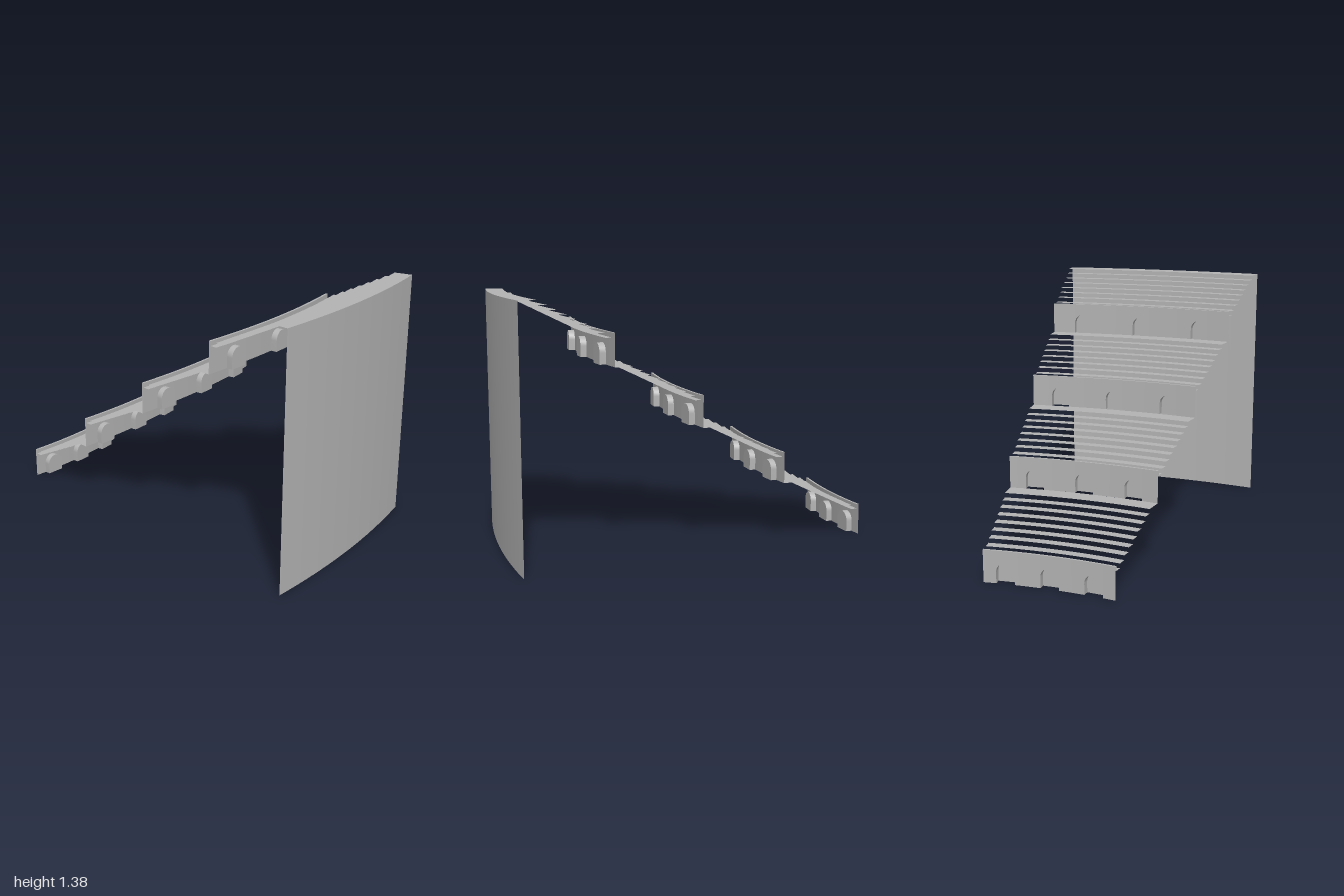
import * as THREE from 'three';

const ARC = THREE.MathUtils.degToRad(15); // angle spanned by the stand
const CENTRE = -3.67;                     // x of the arc centre
const R0 = 2.693, DEPTH = 0.494, RISE = 0.345, TIERS = 4;
const PITCH = DEPTH / 10, ROWS = 9;
const WALL = 0.175, FIRST = 0.15, COPING = 0.012;
const NICHE_W = 0.1, NICHE_H = 0.11, NICHE_D = 0.034;

export function createModel() {
  const group = new THREE.Group();
  const concrete = new THREE.MeshStandardMaterial({ color: 0xb4b4b4, side: THREE.DoubleSide });
  concrete.name = 'concrete grey';

  const add = (parent, geometry, name) => {
    const mesh = new THREE.Mesh(geometry, concrete);
    mesh.name = name;
    parent.add(mesh);
    return mesh;
  };

  // Upright curved sheet between two angles
  const curvedWall = (parent, name, r, y0, y1, a0 = -ARC / 2, a1 = ARC / 2) => {
    const segments = Math.max(2, Math.round((a1 - a0) / ARC * 12));
    const g = new THREE.CylinderGeometry(r, r, y1 - y0, segments, 1, true, Math.PI / 2 + a0, a1 - a0);
    add(parent, g.translate(0, (y0 + y1) / 2, 0), name);
  };

  // Level curved sheet between two radii
  const curvedFloor = (parent, name, r0, r1, y) => {
    const g = new THREE.RingGeometry(r0, r1, 12, 1, -ARC / 2, ARC);
    add(parent, g.rotateX(-Math.PI / 2).translate(0, y, 0), name);
  };

  // Arch outline from the left foot over the crown to the right foot
  const half = NICHE_W / 2, spring = NICHE_H - half;
  const arch = [new THREE.Vector2(-half, 0)];
  for (let i = 0; i <= 12; i++) {
    const t = Math.PI * (1 - i / 12);
    arch.push(new THREE.Vector2(Math.cos(t) * half, spring + Math.sin(t) * half));
  }
  arch.push(new THREE.Vector2(half, 0));

  // Wall above the arch
  const spandrel = new THREE.ShapeGeometry(new THREE.Shape([
    ...arch, new THREE.Vector2(half, WALL), new THREE.Vector2(-half, WALL),
  ]));
  const nicheBack = new THREE.ShapeGeometry(new THREE.Shape(arch)).translate(0, 0, NICHE_D);

  // Vault: the arch outline swept backwards
  const vault = new THREE.BufferGeometry();
  const positions = [], index = [];
  arch.forEach((p, i) => {
    positions.push(p.x, p.y, 0, p.x, p.y, NICHE_D);
    if (i) index.push(2 * i - 2, 2 * i - 1, 2 * i, 2 * i, 2 * i - 1, 2 * i + 1);
  });
  vault.setAttribute('position', new THREE.Float32BufferAttribute(positions, 3));
  vault.setIndex(index);
  vault.computeVertexNormals();

  for (let t = 0; t < TIERS; t++) {
    const tier = new THREE.Group();
    tier.name = 'tier' + (t + 1);
    tier.position.y = t * RISE;
    group.add(tier);
    const r = R0 + t * DEPTH;

    // Front wall pierced by three arched niches
    const w = Math.asin(half / r);
    let from = -ARC / 2;
    for (const a of [-ARC / 3, 0, ARC / 3]) {
      curvedWall(tier, 'frontWall', r, 0, WALL, from, a - w);
      from = a + w;
      const niche = new THREE.Group();
      niche.name = 'niche';
      niche.rotation.y = Math.PI / 2 + a;
      niche.position.set(Math.cos(a) * r * Math.cos(w), 0, -Math.sin(a) * r * Math.cos(w));
      add(niche, spandrel, 'archSurround');
      add(niche, vault, 'archVault');
      add(niche, nicheBack, 'nicheBack');
      tier.add(niche);
    }
    curvedWall(tier, 'frontWall', r, 0, WALL, from, ARC / 2);

    // Low parapet in front of the first row
    curvedFloor(tier, 'parapetTop', r, r + COPING, WALL);
    curvedWall(tier, 'parapetBack', r + COPING, FIRST, WALL);

    // Rows of treads, the last one double width as a walkway
    for (let i = 0; i < ROWS; i++) {
      const inner = i === 0 ? r + COPING : r + i * PITCH;
      const outer = i === ROWS - 1 ? r + DEPTH : r + (i + 1) * PITCH;
      const y = FIRST + (RISE - FIRST) * i / (ROWS - 1);
      curvedFloor(tier, i === ROWS - 1 ? 'walkway' : 'tread', inner, outer, y);
    }
  }

  // Tall rear wall
  curvedWall(group, 'outerWall', R0 + TIERS * DEPTH, 0, TIERS * RISE);

  group.children.forEach((part) => { part.position.x += CENTRE; });
  return group;
}
